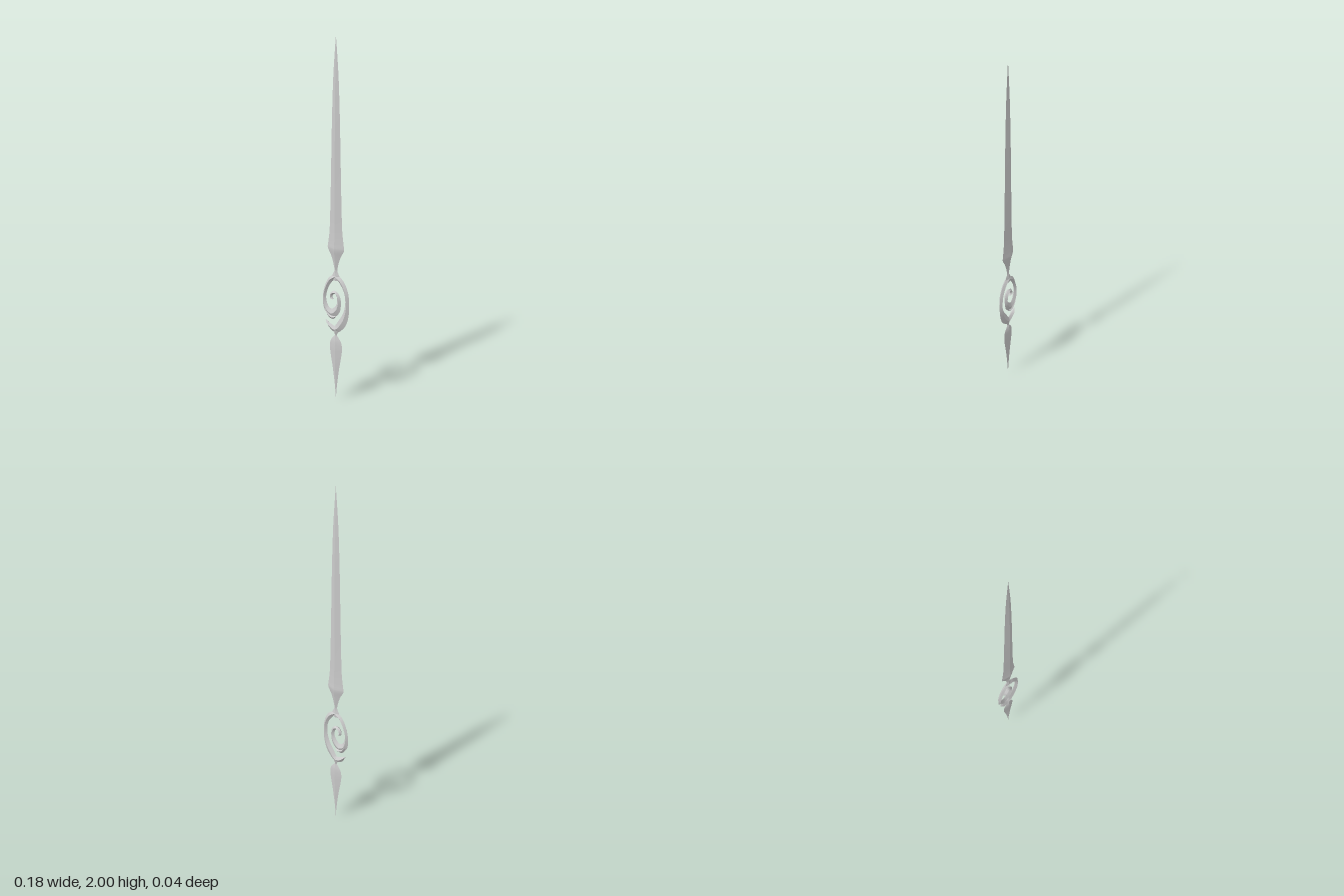
import * as THREE from 'three';
import { toCreasedNormals } from 'three/addons/utils/BufferGeometryUtils.js';

const material = new THREE.MeshStandardMaterial({ color: 0xcccccc, side: THREE.DoubleSide });

// Lofts a diamond section (two edges, front and back ridge) through a list of
// { x, y, tx, ty, w, h }: centre, direction, half width, half depth.
function loft(name, sections) {
  const pos = [], index = [];
  sections.forEach(({ x, y, tx, ty, w, h }, i) => {
    pos.push(x + ty * w, y - tx * w, 0, x, y, h, x - ty * w, y + tx * w, 0, x, y, -h);
    if (i === 0) return;
    for (let j = 0; j < 4; j++) {
      const a = (i - 1) * 4 + j, b = (i - 1) * 4 + (j + 1) % 4;
      index.push(a, a + 4, b, b, a + 4, b + 4);
    }
  });
  const geo = new THREE.BufferGeometry();
  geo.setAttribute('position', new THREE.Float32BufferAttribute(pos, 3));
  geo.setIndex(index);
  const mesh = new THREE.Mesh(toCreasedNormals(geo, 0.3), material);
  mesh.name = name;
  return mesh;
}

// Straight symmetric piece from rows of [y, half width, half depth]
function spear(name, rows) {
  const curve = new THREE.CatmullRomCurve3(
    rows.map(([y, w, h]) => new THREE.Vector3(w, y, h)), false, 'centripetal');
  const n = (rows.length - 1) * 4;
  return loft(name, Array.from({ length: n + 1 }, (_, i) => {
    const p = curve.getPoint(i / n);
    return { x: 0, y: p.y, tx: 0, ty: 1, w: Math.max(p.x, 0), h: Math.max(p.z, 0) };
  }));
}

// Curved strand from rows of [x, y, half width]
function strand(name, rows) {
  const curve = new THREE.CatmullRomCurve3(
    rows.map(([x, y, w]) => new THREE.Vector3(x, y, w)), false, 'centripetal');
  const n = (rows.length - 1) * 8;
  return loft(name, Array.from({ length: n + 1 }, (_, i) => {
    const p = curve.getPoint(i / n), t = curve.getTangent(i / n);
    const len = Math.hypot(t.x, t.y), w = Math.max(p.z, 0);
    return { x: p.x, y: p.y, tx: t.x / len, ty: t.y / len, w, h: Math.min(0.011, w * 1.5) };
  }));
}

export function createModel() {
  const group = new THREE.Group();
  group.name = 'clockHand';

  // Long pointed blade with its flared shoulder and neck
  group.add(spear('blade', [
    [0.725, 0.026, 0.008], [0.745, 0.026, 0.01], [0.762, 0.018, 0.008], [0.78, 0.01, 0.006],
    [0.81, 0.014, 0.008], [0.86, 0.03, 0.013], [0.905, 0.053, 0.018], [0.93, 0.05, 0.016],
    [1.0, 0.041, 0.013], [1.15, 0.035, 0.012], [1.35, 0.03, 0.011], [1.6, 0.024, 0.009],
    [1.8, 0.016, 0.005], [1.92, 0.007, 0.002], [2, 0, 0],
  ]));

  // Leaf-shaped tail
  group.add(spear('tail', [
    [0, 0, 0], [0.06, 0.004, 0.002], [0.13, 0.012, 0.005], [0.2, 0.022, 0.008],
    [0.28, 0.036, 0.01], [0.33, 0.041, 0.011], [0.365, 0.034, 0.01], [0.39, 0.016, 0.007],
    [0.403, 0.007, 0.005], [0.415, 0.012, 0.007], [0.435, 0.022, 0.01],
  ]));

  // Left side of the ring, curling inward into the spiral
  group.add(strand('spiralStrand', [
    [0.002, 0.75, 0.012], [-0.036, 0.722, 0.014], [-0.067, 0.66, 0.011], [-0.076, 0.6, 0.012],
    [-0.06, 0.548, 0.019], [-0.027, 0.528, 0.025], [0.004, 0.55, 0.021], [0.02, 0.592, 0.013],
    [0.016, 0.632, 0.011], [-0.004, 0.654, 0.009], [-0.025, 0.644, 0.009],
    [-0.031, 0.622, 0.009], [-0.018, 0.611, 0.003],
  ]));

  // Small lobe below the spiral
  group.add(strand('spiralLobe', [
    [-0.068, 0.545, 0.006], [-0.042, 0.512, 0.013], [-0.02, 0.506, 0.012], [-0.002, 0.512, 0.003],
  ]));

  // Right side of the ring, sweeping under to a pointed tip
  group.add(strand('crescentStrand', [
    [-0.002, 0.75, 0.012], [0.036, 0.722, 0.015], [0.066, 0.668, 0.013], [0.074, 0.6, 0.013],
    [0.064, 0.535, 0.019], [0.04, 0.482, 0.025], [-0.002, 0.437, 0.019],
    [-0.038, 0.45, 0.014], [-0.07, 0.482, 0],
  ]));

  return group;
}
